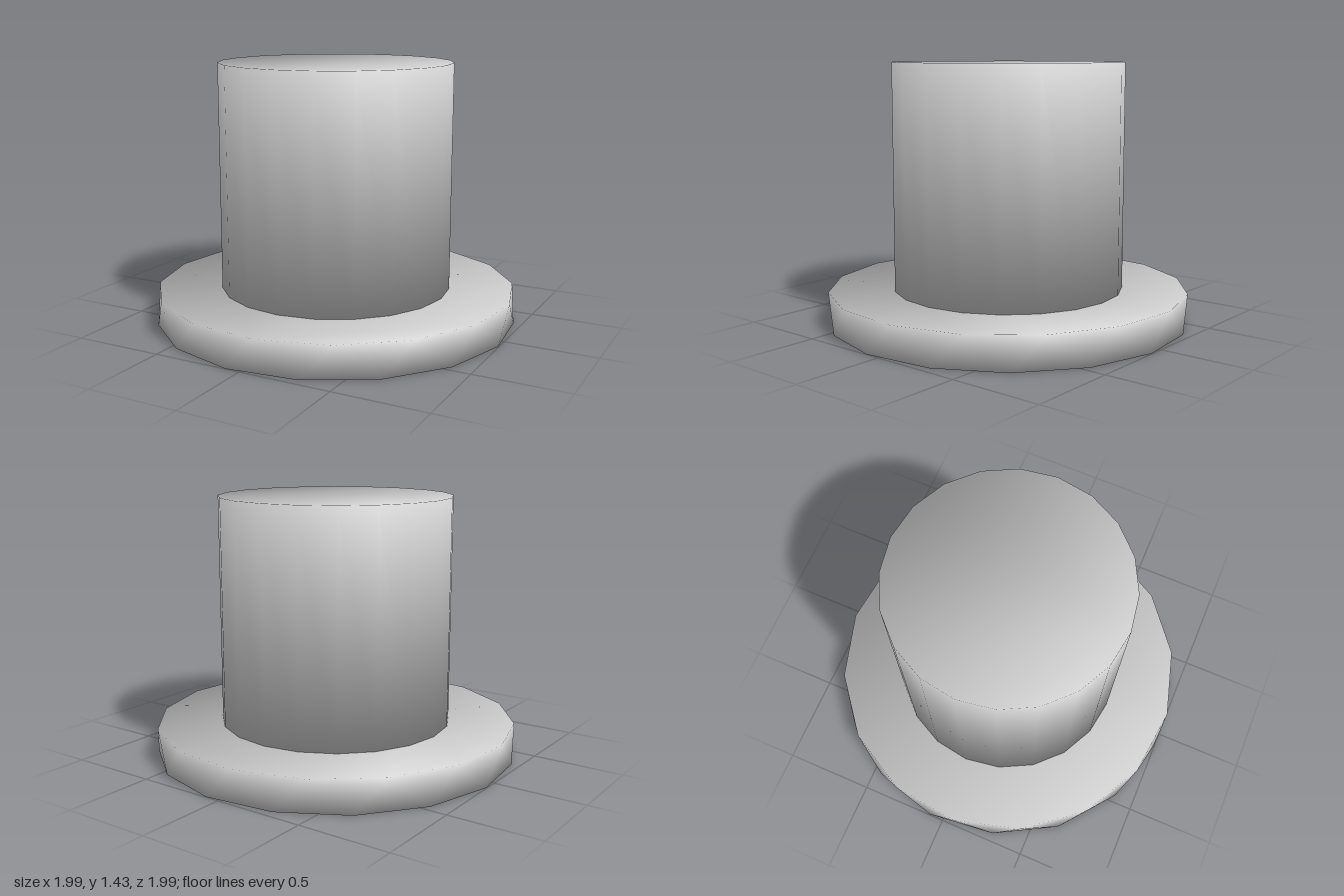
import * as THREE from 'three';

const hatGrey = new THREE.MeshStandardMaterial({ color: 0xcccccc });
hatGrey.name = 'hatGrey';

// Closed drum with soft rims: both rings share their normals between wall and cap.
function softDrum(name, radius, sides, y0, y1, twist = 0) {
  const positions = [], normals = [], index = [];
  const ring = (y, offset, ny) => {
    for (let i = 0; i < sides; i++) {
      const a = (i / sides) * Math.PI * 2 + offset;
      const x = Math.sin(a), z = Math.cos(a);
      positions.push(x * radius, y, z * radius);
      const n = new THREE.Vector3(x, ny, z).normalize();
      normals.push(n.x, n.y, n.z);
    }
  };
  ring(y0, -twist, -0.95);
  ring(y1, twist, 0.95);

  // wall
  for (let i = 0; i < sides; i++) {
    const j = (i + 1) % sides;
    index.push(i, j, sides + i, j, sides + j, sides + i);
  }
  // bottom and top caps
  for (let i = 1; i < sides - 1; i++) {
    index.push(0, i + 1, i, sides, sides + i, sides + i + 1);
  }

  const geometry = new THREE.BufferGeometry();
  geometry.setAttribute('position', new THREE.Float32BufferAttribute(positions, 3));
  geometry.setAttribute('normal', new THREE.Float32BufferAttribute(normals, 3));
  geometry.setIndex(index);
  const mesh = new THREE.Mesh(geometry, hatGrey);
  mesh.name = name;
  return mesh;
}

export function createModel() {
  const hat = new THREE.Group();
  hat.name = 'topHat';
  // wide brim, its upper ring turned slightly against the lower one
  hat.add(softDrum('brim', 1, 16, 0, 0.18, THREE.MathUtils.degToRad(4.75)));
  // tall crown
  hat.add(softDrum('crown', 0.64, 20, 0.18, 1.43));
  return hat;
}
